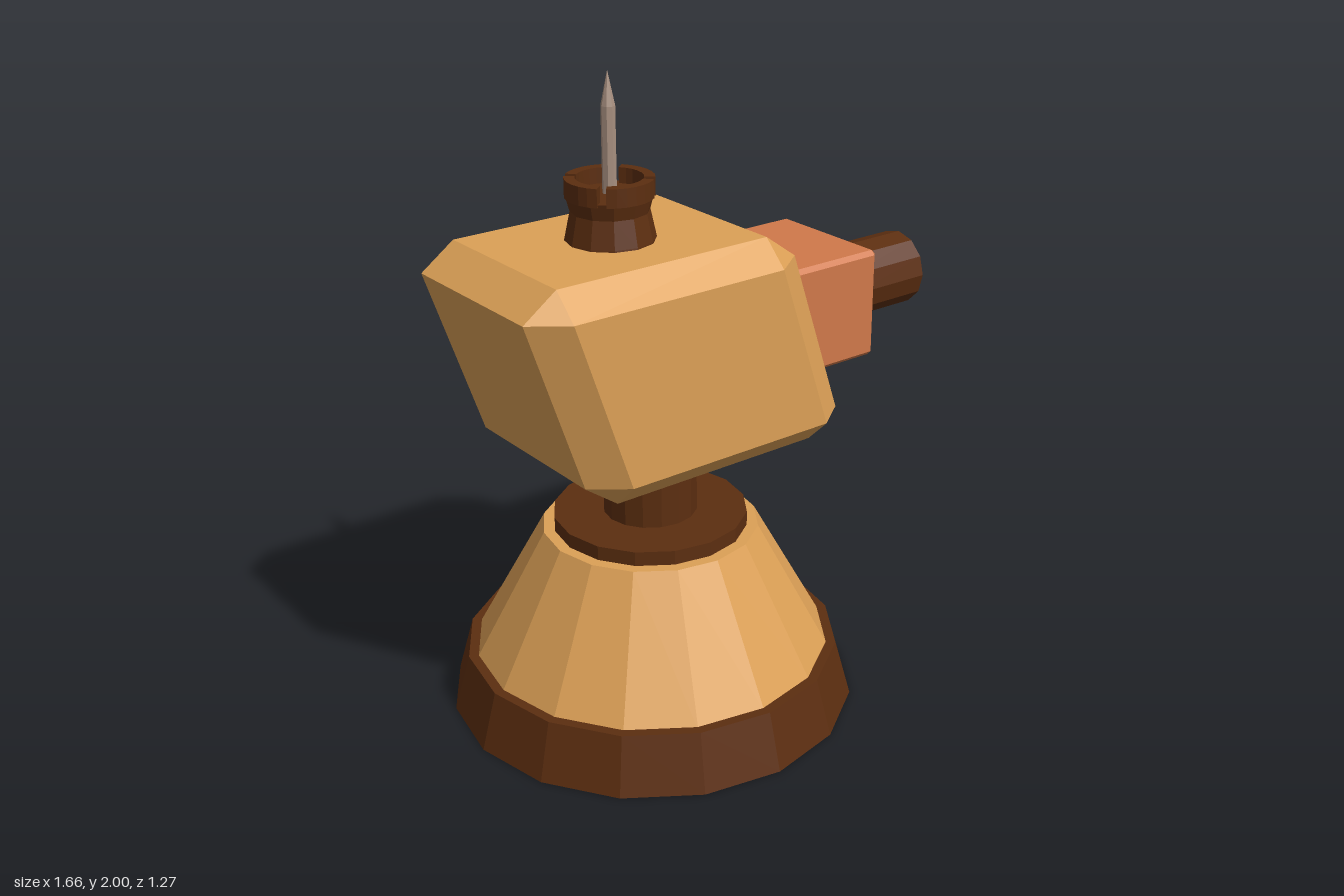
import * as THREE from 'three';
import { ConvexGeometry } from 'three/addons/geometries/ConvexGeometry.js';

const BASE_X = -0.2, HEAD_Z = -0.01, GUN_Y = 1.187;

function material(name, color) {
  const m = new THREE.MeshStandardMaterial({ color });
  m.name = name;
  return m;
}

// Faceted normals for the low-poly look
function flat(geometry) {
  const g = geometry.index ? geometry.toNonIndexed() : geometry;
  g.computeVertexNormals();
  return g;
}

// Turned part from [radius, height] pairs, bottom to top
function turned(profile, sides) {
  return flat(new THREE.LatheGeometry(profile.map(([r, y]) => new THREE.Vector2(r, y)), sides));
}

// Box with chamfered edges; shear slides x as y rises
function chamferedBox([hx, hy, hz], [cx, cy, cz], shear = 0) {
  const points = [];
  for (const sx of [-1, 1]) for (const sy of [-1, 1]) for (const sz of [-1, 1]) {
    points.push(
      new THREE.Vector3(sx * hx, sy * (hy - cy), sz * (hz - cz)),
      new THREE.Vector3(sx * (hx - cx), sy * (hy - cy), sz * hz),
      new THREE.Vector3(sx * (hx - cx), sy * hy, sz * (hz - cz)));
  }
  // Shear only the straight wall; chamfers follow their nearest rim
  for (const p of points) p.x += shear * THREE.MathUtils.clamp(p.y, cy - hy, hy - cy);
  return new ConvexGeometry(points);
}

export function createModel() {
  const model = new THREE.Group();
  model.name = 'turret';
  const tan = material('tan', 0xdca056);
  const brown = material('dark brown', 0x5c2e10);
  const orange = material('burnt orange', 0xd0794a);
  const steel = material('warm grey', 0xa89080);

  const add = (name, geometry, mat, x, y, z) => {
    const mesh = new THREE.Mesh(geometry, mat);
    mesh.name = name;
    mesh.position.set(x, y, z);
    model.add(mesh);
    return mesh;
  };

  // Base: conical body, underside and flared skirt
  add('baseCone', turned([[0.56, 0], [0.56, 0.17], [0.335, 0.58], [0, 0.58]], 16), tan, BASE_X, 0, 0);
  add('baseUnderside', turned([[0, 0], [0.56, 0]], 16), brown, BASE_X, 0, 0);
  add('baseSkirt', turned([[0.55, 0.17], [0.575, 0.17], [0.625, 0], [0.635, 0], [0.585, 0.18], [0.55, 0.18]], 16),
    brown, BASE_X, 0, 0);

  // Swivel collar and neck
  add('collar', turned([[0.3, 0.57], [0.3, 0.625], [0, 0.625]], 16), brown, BASE_X, 0, 0);
  add('neck', turned([[0.145, 0.6], [0.145, 0.86]], 16), brown, BASE_X, 0, 0);

  // Slanted head
  add('head', chamferedBox([0.4675, 0.3425, 0.345], [0.108, 0.078, 0.08], -0.343),
    tan, -0.231, 1.1725, HEAD_Z);

  // Gun block and hollow barrel
  add('gunBlock', chamferedBox([0.215, 0.173, 0.215], [0.014, 0.014, 0.014]), orange, 0.315, GUN_Y, HEAD_Z);
  const barrel = add('barrel',
    turned([[0.055, 0.3], [0.055, -0.01], [0.12, -0.01], [0.12, 0.3], [0.055, 0.3]], 12),
    brown, 0.53, GUN_Y, HEAD_Z);
  barrel.rotation.z = -Math.PI / 2;

  // Antenna socket with four crown segments
  const MAST_X = -0.32;
  add('antennaSocket', turned([[0.135, 1.5], [0.132, 1.52], [0.115, 1.6], [0.128, 1.65], [0, 1.65]], 12),
    brown, MAST_X, 0, HEAD_Z);
  const half = Math.PI / 4 - 0.1;
  const arc = new THREE.Shape();
  arc.absarc(0, 0, 0.13, -half, half, false);
  arc.absarc(0, 0, 0.098, half, -half, true);
  const crown = flat(new THREE.ExtrudeGeometry(arc, { depth: 0.055, bevelEnabled: false, curveSegments: 3 }));
  crown.rotateX(-Math.PI / 2);
  for (let i = 0; i < 4; i++) {
    add('crownSegment', crown, brown, MAST_X, 1.642, HEAD_Z).rotation.y = i * Math.PI / 2;
  }

  // Needle antenna
  add('antenna', turned([[0.021, 1.64], [0.021, 1.9], [0, 2]], 8), steel, MAST_X, 0, HEAD_Z);

  return model;
}
